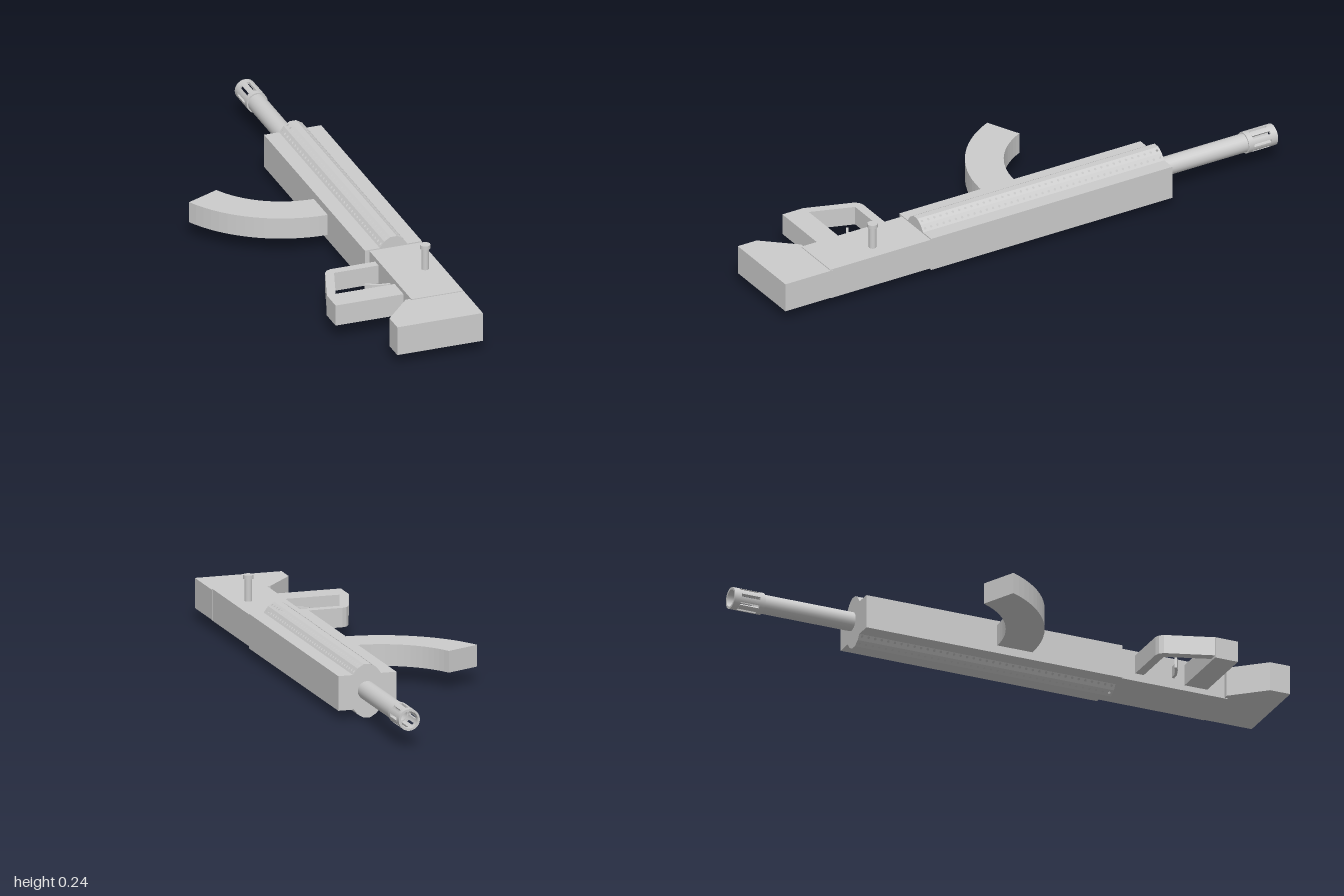
import * as THREE from 'three';

const grey = new THREE.MeshStandardMaterial({ color: 0xcccccc, flatShading: true });
const smooth = new THREE.MeshStandardMaterial({ color: 0xcccccc, side: THREE.DoubleSide });
const thin = new THREE.MeshStandardMaterial({ color: 0xcccccc, flatShading: true, side: THREE.DoubleSide });

function add(parent, name, geometry, material = grey) {
  const mesh = new THREE.Mesh(geometry, material);
  mesh.name = name;
  parent.add(mesh);
  return mesh;
}

// Plan outline given as [x, z], raised from y0 to y1
function slab(parent, name, points, y0, y1) {
  const shape = new THREE.Shape(points.map(([x, z]) => new THREE.Vector2(x, -z)));
  const geo = new THREE.ExtrudeGeometry(shape, { depth: y1 - y0, bevelEnabled: false });
  geo.rotateX(-Math.PI / 2).translate(0, y0, 0);
  return add(parent, name, geo);
}

const rect = (x0, x1, z0, z1) => [[x0, z0], [x1, z0], [x1, z1], [x0, z1]];

// Faceted half shroud, perforated along its four sloping strips
function halfShroud(name) {
  const group = new THREE.Group();
  group.name = name;
  const zBack = 0.42, length = 0.96, count = 39;
  const section = [[-0.052, 0.056], [-0.034, 0.08], [-0.012, 0.0935], [0.012, 0.0935], [0.034, 0.08], [0.052, 0.056]];
  for (let i = 0; i < 5; i++) {
    const a = new THREE.Vector3(...section[i], 0);
    const b = new THREE.Vector3(...section[i + 1], 0);
    const width = a.distanceTo(b);
    const strip = new THREE.Shape([[0, 0], [width, 0], [width, length], [0, length]].map(p => new THREE.Vector2(...p)));
    if (i !== 2) {
      for (let k = 0; k < count; k++) {
        const hole = new THREE.Path();
        hole.absarc(width / 2, (k + 0.5) * length / count, 0.005, 0, Math.PI * 2, true);
        strip.holes.push(hole);
      }
    }
    const across = b.clone().sub(a).normalize();
    const along = new THREE.Vector3(0, 0, -1);
    const frame = new THREE.Matrix4().makeBasis(across, along, across.clone().cross(along));
    frame.setPosition(a.x, a.y, zBack);
    add(group, 'perforatedStrip', new THREE.ShapeGeometry(strip, 3).applyMatrix4(frame), thin);
  }
  for (const z of [zBack, zBack - length]) {
    const cap = new THREE.ShapeGeometry(new THREE.Shape(section.map(p => new THREE.Vector2(...p))));
    add(group, 'shroudEnd', cap.translate(0, 0, z), thin);
  }
  group.position.set(0.205, 0.0935, 0);
  return group;
}

// Tube along z from a ring profile
function tube(parent, name, inner, outer, z0, z1) {
  const profile = [[inner, z0], [outer, z0], [outer, z0], [outer, z1], [outer, z1], [inner, z1], [inner, z1], [inner, z0]];
  const geo = new THREE.LatheGeometry(profile.map(p => new THREE.Vector2(...p)), 24);
  return add(parent, name, geo.rotateX(Math.PI / 2), smooth);
}

export function createModel() {
  const model = new THREE.Group();

  // Main blocks
  slab(model, 'foreBody', rect(0.1, 0.308, -0.54, 0.42), 0.031, 0.152);
  slab(model, 'receiver', rect(0.117, 0.306, 0.42, 0.82), 0.037, 0.148);
  slab(model, 'stock', [[0.308, 0.81], [0.308, 1], [-0.003, 1], [-0.003, 0.925], [0.1, 0.81]], 0.04, 0.145);

  // Shroud on both broad faces
  const upper = halfShroud('upperShroud');
  const lower = halfShroud('lowerShroud');
  lower.rotation.z = Math.PI;
  model.add(upper, lower);

  // Barrel and slotted muzzle
  const barrel = new THREE.Group();
  barrel.name = 'barrelAssembly';
  barrel.position.set(0.207, 0.096, 0);
  model.add(barrel);
  tube(barrel, 'barrel', 0.026, 0.033, -0.9, -0.546);
  tube(barrel, 'muzzleCollar', 0.03, 0.038, -0.905, -0.885);
  tube(barrel, 'muzzleRim', 0.03, 0.038, -1, -0.975);
  const bars = 8, half = Math.PI / bars * 0.65;
  for (let i = 0; i < bars; i++) {
    const mid = (i + 0.5) * 2 * Math.PI / bars;
    const arc = new THREE.Shape();
    arc.absarc(0, 0, 0.038, mid - half, mid + half, false);
    arc.absarc(0, 0, 0.03, mid + half, mid - half, true);
    const geo = new THREE.ExtrudeGeometry(arc, { depth: 0.07, bevelEnabled: false, curveSegments: 4 });
    add(barrel, 'muzzleBar', geo.translate(0, 0, -0.975));
  }

  // Curved magazine
  const arcPoint = (r, t) => [0.095 - r * Math.sin(t), -0.3655 + r * Math.cos(t)];
  const outer = [], inner = [];
  for (let i = 0; i <= 16; i++) {
    const t = i / 16 * 1.141;
    outer.push(arcPoint(0.445, t));
    inner.unshift(arcPoint(0.313, t));
  }
  slab(model, 'magazine', [...outer, ...inner], 0.057, 0.133);

  // Grip, guard and trigger
  slab(model, 'grip', rect(-0.13, 0.118, 0.66, 0.745), 0.057, 0.133);
  slab(model, 'triggerGuard', [
    [0.118, 0.475], [-0.045, 0.475], [-0.062, 0.481], [-0.073, 0.495], [-0.13, 0.662],
    [-0.098, 0.662], [-0.045, 0.507], [0.118, 0.507],
  ], 0.065, 0.133);
  slab(model, 'trigger', [
    [0.118, 0.612], [0.09, 0.609], [0.06, 0.598], [0.038, 0.585],
    [0.034, 0.592], [0.056, 0.606], [0.088, 0.618], [0.118, 0.621],
  ], 0.075, 0.115);

  // Charging handle
  const pin = add(model, 'handlePin', new THREE.CylinderGeometry(0.013, 0.013, 0.09, 20), smooth);
  pin.position.set(0.245, 0.185, 0.615);
  const knob = add(model, 'handleKnob', new THREE.CylinderGeometry(0.018, 0.018, 0.014, 20), smooth);
  knob.position.set(0.245, 0.233, 0.615);

  return model;
}
